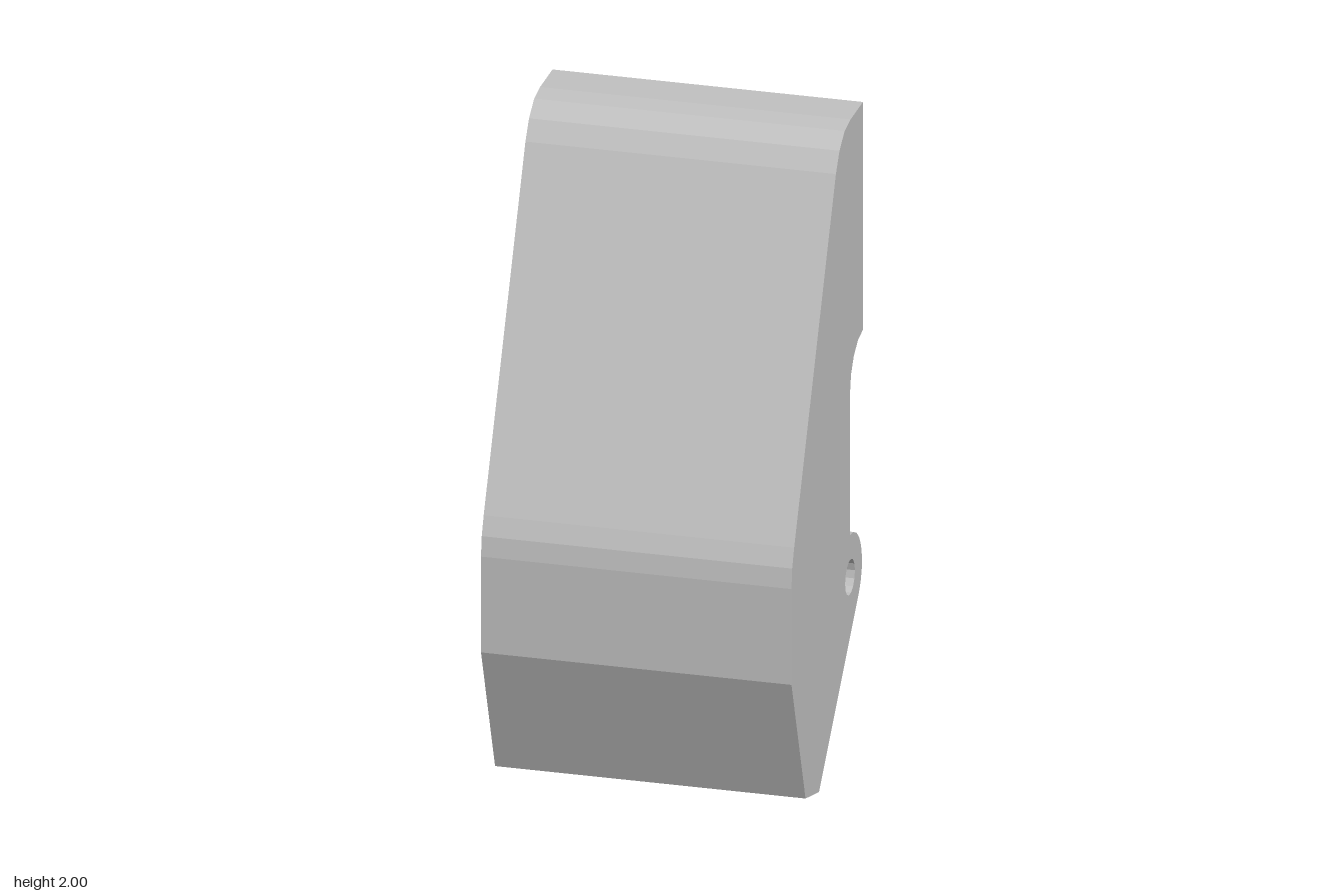
import * as THREE from 'three';

// Points along an arc, angles in degrees
function arc(cx, cy, r, from, to, steps) {
  return Array.from({ length: steps + 1 }, (_, i) => {
    const a = THREE.MathUtils.degToRad(from + ((to - from) * i) / steps);
    return new THREE.Vector2(cx + r * Math.cos(a), cy + r * Math.sin(a));
  });
}

const points = (list) => list.map(([z, y]) => new THREE.Vector2(z, y));

export function createModel() {
  const WIDTH = 0.946;
  const PIN = [-0.255, 0.545];
  const grey = new THREE.MeshStandardMaterial({ color: 0xc0c0c0, flatShading: true });
  grey.name = 'plain grey';

  // Side profile (z, y), walked from the top back edge over the front
  const profile = new THREE.Shape([
    ...points([
      [-0.4, 2], [-0.262, 2], [-0.195, 1.99], [-0.137, 1.95], [-0.097, 1.892], // rounded crown
      [0.37, 0.89], [0.392, 0.832], [0.4, 0.77], // soft bend at the front
      [0.4, 0.465], [0.243, 0.04], [0.092, 0], // chamfered foot
    ]),
    ...arc(...PIN, 0.134, 225, 90, 8), // hinge barrel
    ...arc(-0.4, 1.13, 0.145, 0, 90, 4), // cove under the back block
  ]);

  // Pin hole through the hinge barrel
  profile.holes.push(new THREE.Path(arc(...PIN, 0.055, 0, 360, 14).slice(0, -1)));

  // Extrude across the width and turn the profile to face sideways
  const geometry = new THREE.ExtrudeGeometry(profile, { depth: WIDTH, bevelEnabled: false });
  geometry.translate(0, 0, -WIDTH / 2);
  geometry.rotateY(-Math.PI / 2);

  const body = new THREE.Mesh(geometry, grey);
  body.name = 'hingedBlock';

  const group = new THREE.Group();
  group.name = 'hingedLever';
  group.add(body);
  return group;
}
